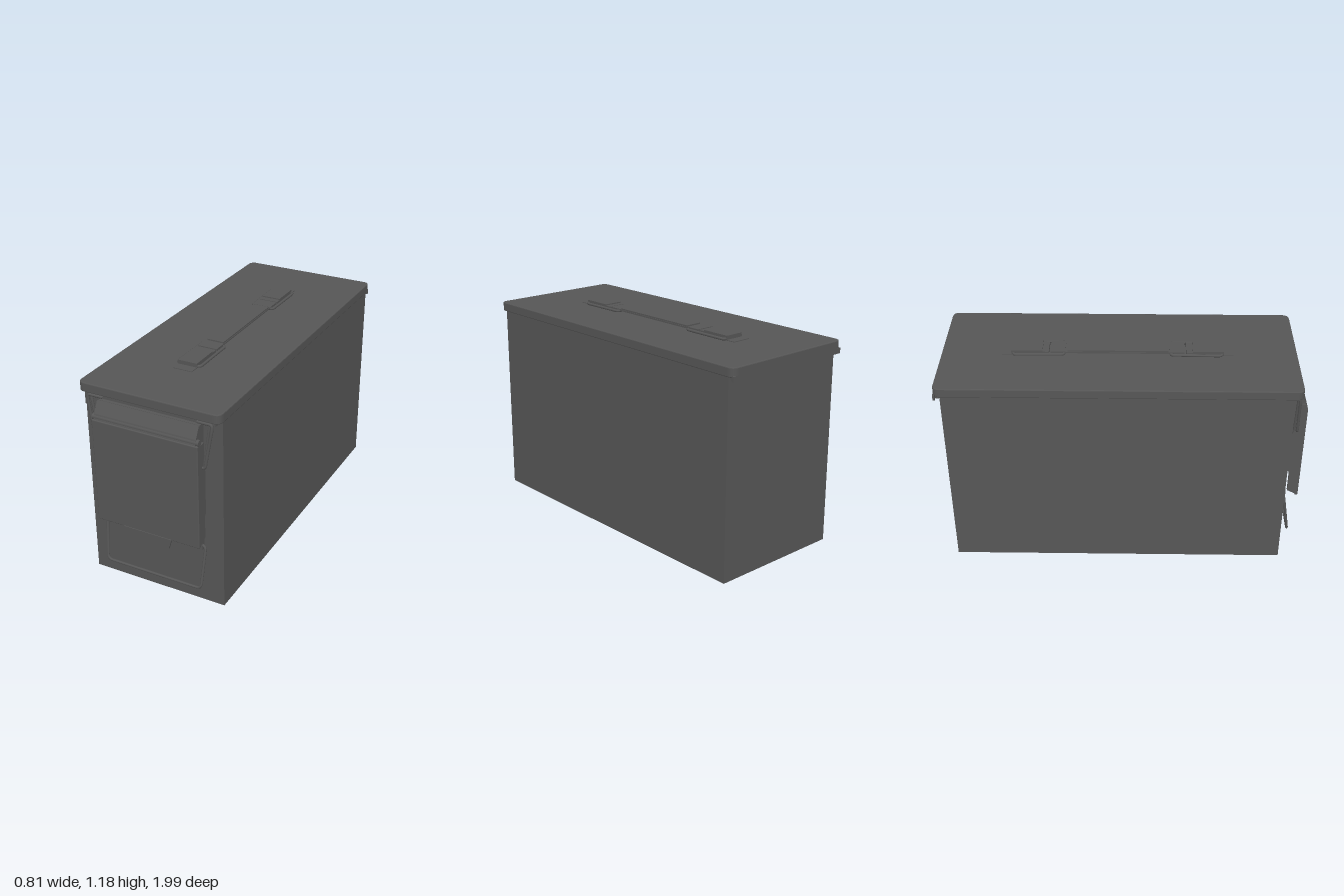
import * as THREE from 'three';
import { RoundedBoxGeometry } from 'three/addons/geometries/RoundedBoxGeometry.js';

export function createModel() {
  const model = new THREE.Group();
  model.name = 'ammoBox';
  const steel = new THREE.MeshStandardMaterial({ color: 0x565656 });
  steel.name = 'darkGreySteel';

  const add = (name, geometry, parent = model) => {
    const mesh = new THREE.Mesh(geometry, steel);
    mesh.name = name;
    parent.add(mesh);
    return mesh;
  };
  // Box given by its minimum and maximum corners
  const box = (name, x0, x1, y0, y1, z0, z1, parent) => {
    const m = add(name, new THREE.BoxGeometry(x1 - x0, y1 - y0, z1 - z0), parent);
    m.position.set((x0 + x1) / 2, (y0 + y1) / 2, (z0 + z1) / 2);
    return m;
  };
  const group = (name) => {
    const g = new THREE.Group();
    g.name = name;
    model.add(g);
    return g;
  };
  // Bent wire through points, with rounded corners
  const wire = (name, pts, radius, bend, parent, closed = false) => {
    const p = pts.map((a) => new THREE.Vector3(...a));
    const n = p.length;
    const toward = (a, b) => a.clone().add(b.clone().sub(a).setLength(bend));
    const path = new THREE.CurvePath();
    let last = closed ? toward(p[0], p[1]) : p[0];
    const end = closed ? n : n - 2;
    for (let i = 1; i <= end; i++) {
      const c = p[i % n];
      const a = toward(c, p[i - 1]), b = toward(c, p[(i + 1) % n]);
      path.add(new THREE.LineCurve3(last, a));
      path.add(new THREE.QuadraticBezierCurve3(a, c, b));
      last = b;
    }
    if (!closed) path.add(new THREE.LineCurve3(last, p[n - 1]));
    return add(name, new THREE.TubeGeometry(path, 120, radius, 8, closed), parent);
  };
  // Profile of [z, y] points extruded across x
  const across = (name, profile, x0, x1, parent) => {
    const shape = new THREE.Shape(profile.map(([z, y]) => new THREE.Vector2(-z, y)));
    const g = new THREE.ExtrudeGeometry(shape, { depth: x1 - x0, bevelEnabled: false });
    g.rotateY(Math.PI / 2).translate(x0, 0, 0);
    return add(name, g, parent);
  };

  // Can body
  box('body', -0.39, 0.398, 0, 1.12, -0.965, 0.9);

  // Lid with rounded corners
  const lid = group('lid');
  const X = 0.4, Z0 = -0.94, Z1 = 0.995, R = 0.035;
  const outline = new THREE.Shape();
  outline.moveTo(-X + R, Z0);
  outline.lineTo(X - R, Z0);
  outline.quadraticCurveTo(X, Z0, X, Z0 + R);
  outline.lineTo(X, Z1 - R);
  outline.quadraticCurveTo(X, Z1, X - R, Z1);
  outline.lineTo(-X + R, Z1);
  outline.quadraticCurveTo(-X, Z1, -X, Z1 - R);
  outline.lineTo(-X, Z0 + R);
  outline.quadraticCurveTo(-X, Z0, -X + R, Z0);
  const lidGeo = new THREE.ExtrudeGeometry(outline, {
    depth: 0.042, bevelSize: 0.005, bevelThickness: 0.005, bevelSegments: 2, curveSegments: 8,
  });
  add('lidPan', lidGeo.rotateX(-Math.PI / 2).translate(0, 1.105, 0), lid);
  box('frontLip', -0.37, 0.37, 1.075, 1.11, 0.895, 0.925, lid);
  box('sideSkirt', -0.396, -0.385, 1.01, 1.11, -0.95, 0.9, lid);
  // Rolled hinge under the back edge
  box('backLip', -0.4, 0.4, 1.08, 1.11, -1.0, -0.988, lid);
  const pin = add('hingePin', new THREE.CylinderGeometry(0.012, 0.012, 0.77, 12), lid);
  pin.rotation.z = Math.PI / 2;
  pin.position.set(0, 1.092, -0.976);

  // Carry handle: strap, wire loops and end clips
  const handle = group('carryHandle');
  box('strap', -0.05, 0.053, 1.16, 1.168, -0.33, 0.26, handle);
  box('strapPad', -0.047, 0.05, 1.164, 1.176, -0.31, 0.24, handle);
  for (const s of [-1, 1]) {
    const end = new THREE.Group();
    end.name = s > 0 ? 'frontClip' : 'backClip';
    end.position.z = -0.037;
    handle.add(end);
    const span = (name, x0, x1, y0, y1, a, b) =>
      box(name, x0, x1, y0, y1, Math.min(s * a, s * b), Math.max(s * a, s * b), end);
    wire('loop', [[-0.062, 1.16, s * 0.29], [0.068, 1.16, s * 0.29],
      [0.07, 1.16, s * 0.57], [-0.066, 1.16, s * 0.57]], 0.008, 0.02, end, true);
    span('strapFold', -0.053, 0.056, 1.16, 1.172, 0.285, 0.365);
    span('clip', -0.055, 0.056, 1.15, 1.178, 0.41, 0.58);
    span('clipStep', -0.055, 0.056, 1.15, 1.171, 0.375, 0.415);
    span('clipTab', -0.055, 0.056, 1.148, 1.156, 0.575, 0.632);
  }

  // Front latch: cover plate, side cheeks, sloped top and thumb tab
  const latch = group('latch');
  const plate = add('coverPlate', new RoundedBoxGeometry(0.61, 0.595, 0.018, 2, 0.006), latch);
  plate.position.set(0, 0.682, 0.979);
  const cheek = [[0.985, 0.975], [0.925, 0.975], [0.925, 0.83], [0.915, 0.81],
    [0.915, 0.56], [0.925, 0.55], [0.925, 0.42], [0.985, 0.39]];
  across('rightCheek', cheek, -0.305, -0.293, latch);
  across('leftCheek', cheek, 0.293, 0.305, latch);
  across('slopedTop', [[0.985, 0.975], [0.975, 1.01], [0.945, 1.068], [0.93, 1.068],
    [0.93, 0.975]], -0.293, 0.29, latch);
  box('topBacking', -0.29, 0.29, 0.8, 1.07, 0.9, 0.935, latch);
  const roller = add('roller', new THREE.CylinderGeometry(0.017, 0.017, 0.61, 16), latch);
  roller.rotation.z = Math.PI / 2;
  roller.position.set(0, 0.99, 0.965);
  const tabShape = new THREE.Shape([[-0.147, 0.39], [-0.128, 0.33], [0.126, 0.33], [0.143, 0.39]]
    .map(([x, y]) => new THREE.Vector2(x, y)));
  const tab = add('thumbTab', new THREE.ExtrudeGeometry(tabShape,
    { depth: 0.01, bevelEnabled: false }), latch);
  tab.position.z = 0.982;

  // Wire that pulls the lid down, hooked on both sides of the latch
  for (const s of [-1, 1]) {
    wire(s > 0 ? 'leftLatchWire' : 'rightLatchWire', [
      [s * 0.27, 1.082, 0.925], [s * 0.354, 1.085, 0.93], [s * 0.354, 1.05, 0.933],
      [s * 0.318, 0.84, 0.94], [s * 0.28, 0.84, 0.94]], 0.008, 0.014, latch);
    wire(s > 0 ? 'leftInnerWire' : 'rightInnerWire', [
      [s * 0.342, 1.085, 0.922], [s * 0.335, 1.05, 0.925], [s * 0.304, 0.84, 0.925]],
    0.007, 0.014, latch);
  }

  // Lower carrying bail and its brackets
  const bail = group('frontBail');
  for (const s of [-1, 1]) {
    const a = Math.min(s * 0.13, s * 0.285), b = Math.max(s * 0.13, s * 0.285);
    box(s > 0 ? 'leftBracket' : 'rightBracket', a, b, 0.33, 0.39, 0.895, 0.922, bail);
  }
  wire('bailWire', [[-0.24, 0.36, 0.915], [-0.297, 0.36, 0.915], [-0.284, 0.11, 0.955],
    [0.29, 0.11, 0.955], [0.302, 0.36, 0.915], [0.24, 0.36, 0.915]], 0.0075, 0.03, bail);

  return model;
}
